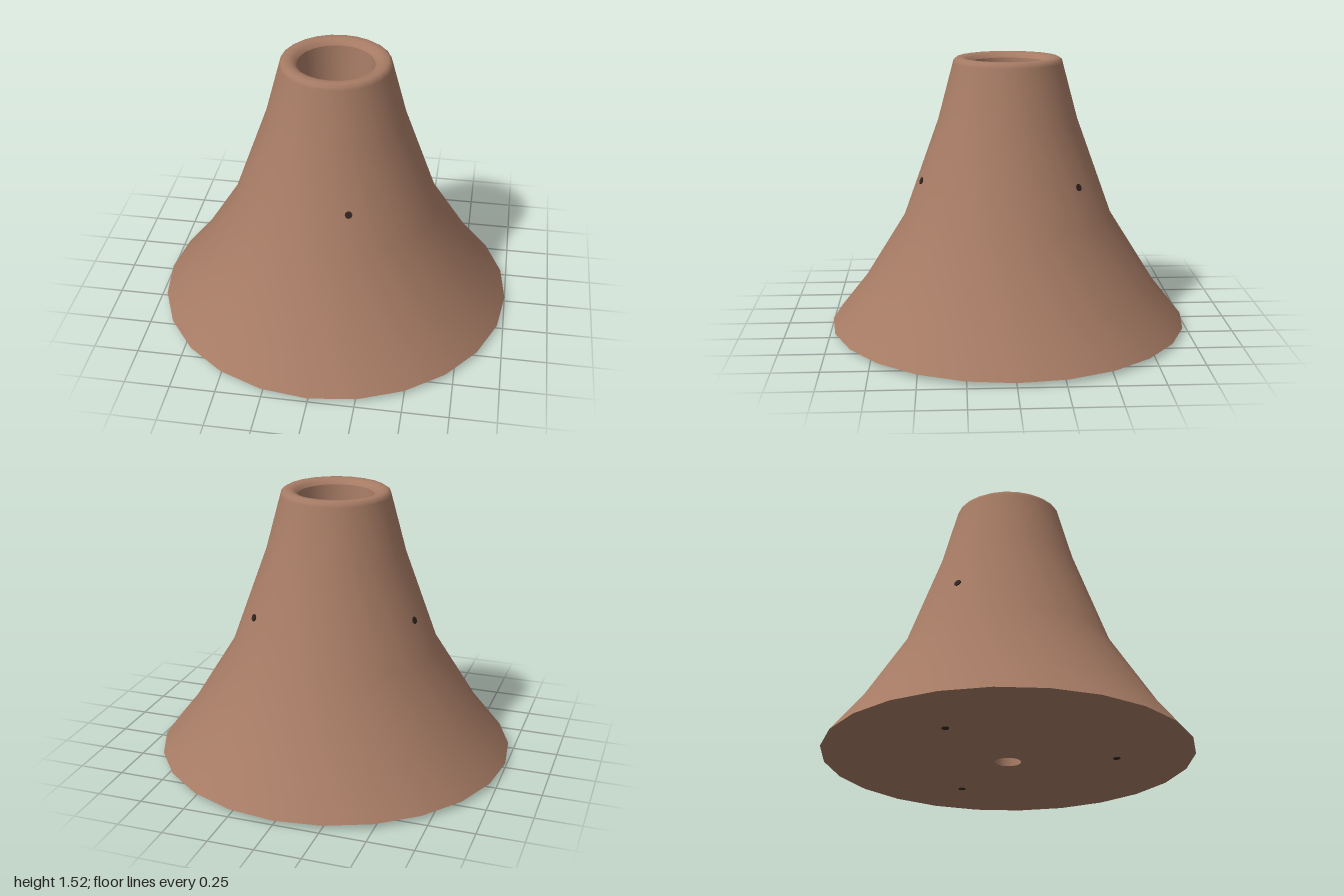
import * as THREE from 'three';

const SIDES = 24;
const clay = new THREE.MeshStandardMaterial({ color: 0xa67b64 });
clay.name = 'clay brown';
const dark = new THREE.MeshStandardMaterial({ color: 0x33261f });
dark.name = 'hole dark brown';

// Surface of revolution from [radius, height] pairs
function turned(name, profile) {
  const points = profile.map(([r, y]) => new THREE.Vector2(r, y));
  const mesh = new THREE.Mesh(new THREE.LatheGeometry(points, SIDES), clay);
  mesh.name = name;
  return mesh;
}

// Thin dark disc marking the mouth of a small hole, lying on the surface
function holeMouth(name, angle, radius, y, out, up) {
  const c = Math.cos(angle), s = Math.sin(angle);
  const mesh = new THREE.Mesh(new THREE.CylinderGeometry(0.02, 0.02, 0.008, 10), dark);
  mesh.name = name;
  mesh.position.set(c * radius, y, s * radius);
  const normal = new THREE.Vector3(c * out, up, s * out).normalize();
  mesh.quaternion.setFromUnitVectors(new THREE.Vector3(0, 1, 0), normal);
  return mesh;
}

export function createModel() {
  const model = new THREE.Group();
  model.name = 'flaredStand';

  // Flared outer wall running over the rounded rim
  model.add(turned('outerWall', [
    [1, 0.025], [0.83, 0.24], [0.58, 0.64], [0.385, 1.18],
    [0.302, 1.49], [0.297, 1.508], [0.28, 1.52], [0.25, 1.52],
    [0.225, 1.51], [0.21, 1.49],
  ]));

  // Tapered bore through the middle
  model.add(turned('bore', [[0.21, 1.49], [0.07, 0]]));

  // Slightly conical underside
  model.add(turned('underside', [[0.07, 0], [1, 0.025]]));

  // Three small holes in the wall, each with a matching one underneath
  for (let i = 0; i < 3; i++) {
    const angle = THREE.MathUtils.degToRad(73.7 + i * 120);
    model.add(holeMouth('wallHole', angle, 0.5, 0.86, 0.54, 0.2));
    model.add(holeMouth('undersideHole', angle, 0.58, 0.0137, 0.027, -1));
  }
  return model;
}
